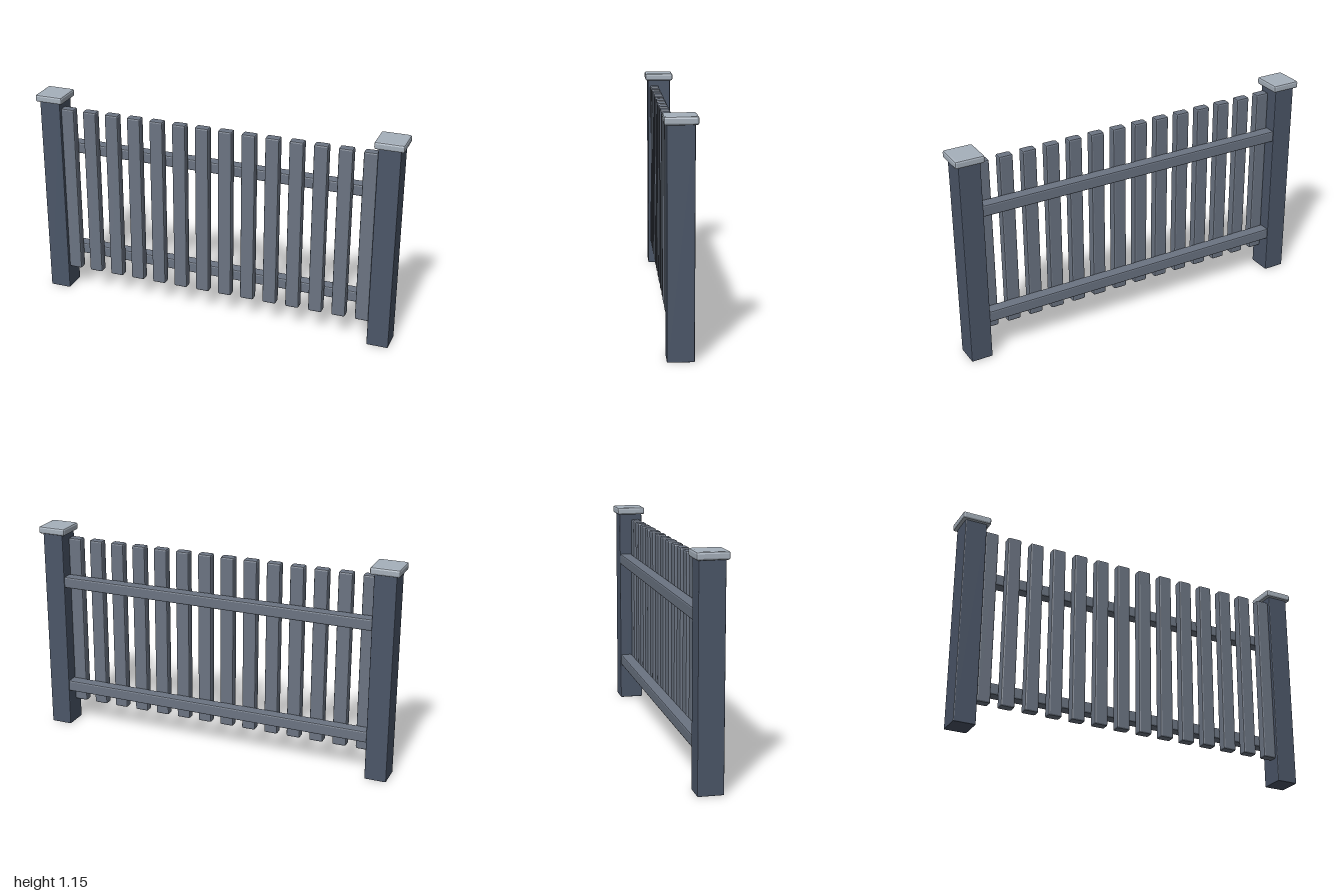
import * as THREE from 'three';
import { RoundedBoxGeometry } from 'three/addons/geometries/RoundedBoxGeometry.js';

const paint = (color) => new THREE.MeshStandardMaterial({ color, flatShading: true });

// Box with softly bevelled edges, centred on (x, y, z)
function board(name, size, bevel, position, material) {
  const mesh = new THREE.Mesh(new RoundedBoxGeometry(...size, 1, bevel), material);
  mesh.name = name;
  mesh.position.set(...position);
  return mesh;
}

export function createModel() {
  const fence = new THREE.Group();
  fence.name = 'fence';
  const postPaint = paint(0x4b5668);
  const capPaint = paint(0xa6b0bb);
  const boardPaint = paint(0x6b7482);

  // End posts with overhanging caps
  for (const [side, sign] of [['left', 1], ['right', -1]]) {
    const x = sign * 0.923;
    fence.add(board(`${side}Post`, [0.116, 1.115, 0.13], 0.005, [x, 0.5575, 0], postPaint));
    fence.add(board(`${side}PostCap`, [0.154, 0.04, 0.16], 0.01, [x, 1.13, 0], capPaint));
  }

  // Horizontal rails between the posts, behind the pickets
  for (const [name, y] of [['lowerRail', 0.234], ['upperRail', 0.844]]) {
    fence.add(board(name, [1.74, 0.062, 0.064], 0.008, [0, y, -0.03], boardPaint));
  }

  // Evenly spaced vertical pickets
  const count = 14;
  const pitch = 0.1275;
  for (let i = 0; i < count; i++) {
    const x = (i - (count - 1) / 2) * pitch;
    fence.add(board(`picket${i + 1}`, [0.075, 0.95, 0.05], 0.009, [x, 0.605, 0.027], boardPaint));
  }
  return fence;
}
